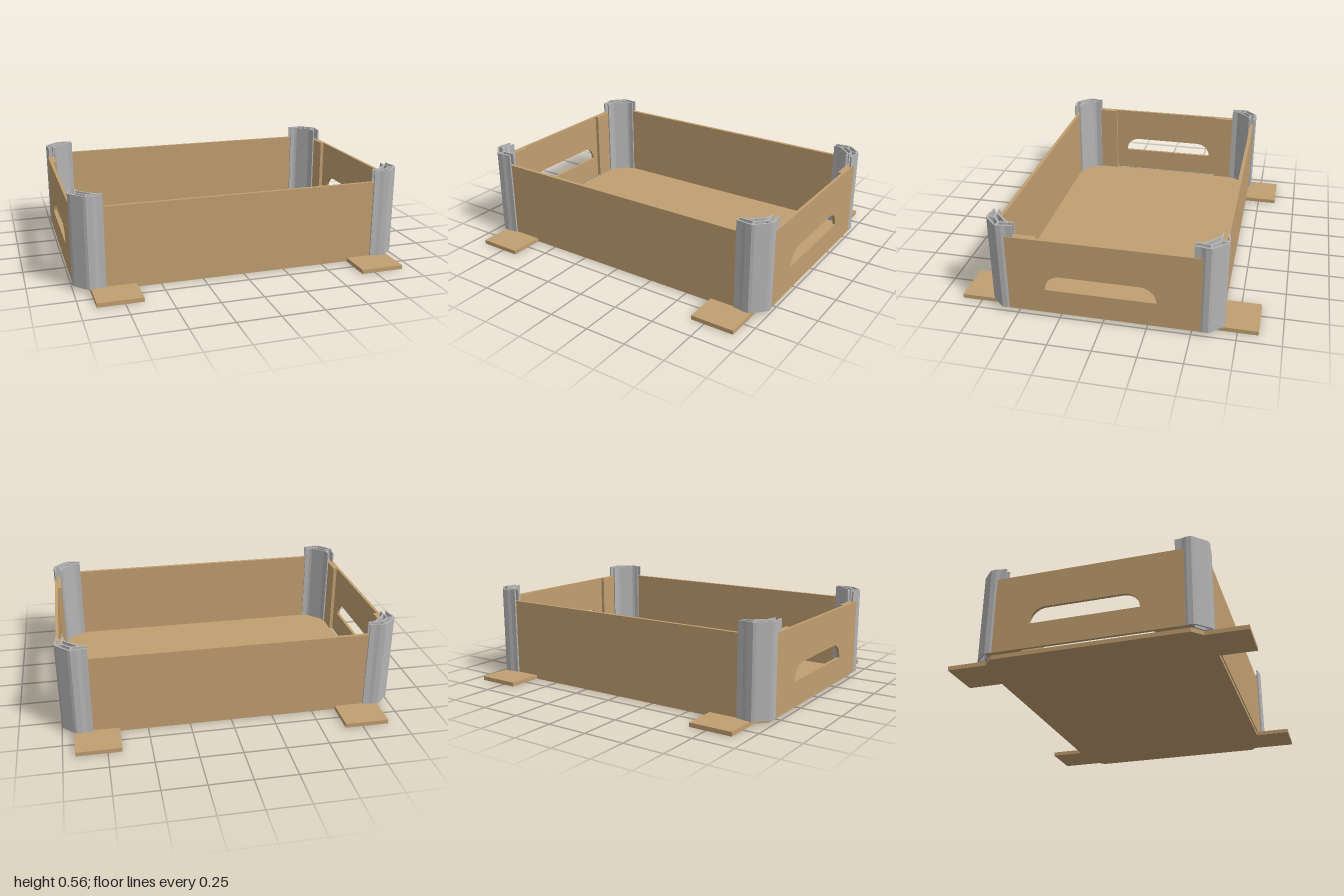
import * as THREE from 'three';

const FLOOR = 0.025, WALL_TOP = 0.495, POST_TOP = 0.565;

// Plan outline given as [x, z] points, extruded between two heights
function prism(points, y0, y1) {
  const shape = new THREE.Shape(points.map(([x, z]) => new THREE.Vector2(x, z)));
  const geo = new THREE.ExtrudeGeometry(shape, { depth: y1 - y0, bevelEnabled: false });
  return geo.rotateX(Math.PI / 2).translate(0, y1, 0);
}

// Turns an open path into a mitred strip outline of the given thickness
function strip(path, thickness) {
  const pts = path.map(([x, z]) => new THREE.Vector2(x, z));
  const normal = (a, b) => new THREE.Vector2(a.y - b.y, b.x - a.x).normalize();
  const one = [], two = [];
  pts.forEach((p, i) => {
    const n1 = normal(pts[Math.max(i - 1, 0)], pts[Math.max(i, 1)]);
    const last = pts.length - 1;
    const n2 = normal(pts[Math.min(i, last - 1)], pts[Math.min(i + 1, last)]);
    const m = n1.clone().add(n2).normalize();
    m.multiplyScalar(thickness / 2 / m.dot(n1));
    one.push([p.x + m.x, p.y + m.y]);
    two.unshift([p.x - m.x, p.y - m.y]);
  });
  return [...one, ...two];
}

export function createModel() {
  const wood = new THREE.MeshStandardMaterial({ color: 0xc19f70 });
  wood.name = 'tan board';
  const metal = new THREE.MeshStandardMaterial({ color: 0xb4b4b4 });
  metal.name = 'grey metal';
  const model = new THREE.Group();
  model.name = 'crate';
  const add = (name, geo, mat, parent = model) => {
    const mesh = new THREE.Mesh(geo, mat);
    mesh.name = name;
    parent.add(mesh);
    return mesh;
  };

  // Floor board with chamfered corners and four tabs
  const half = [
    [0.965, 0.57], [0.93, 0.605], [0.93, 0.867], [0.668, 0.867], [0.668, 0.655],
    [-0.645, 0.655], [-0.645, 0.867], [-0.907, 0.867], [-0.907, 0.628], [-0.965, 0.57],
  ];
  const outline = [...half, ...half.map(([x, z]) => [x, -z]).reverse()];
  add('floor', prism(outline, 0, FLOOR), wood);

  // Long walls
  const wallHeight = WALL_TOP - FLOOR;
  for (const s of [1, -1]) {
    add(s > 0 ? 'frontWall' : 'backWall', new THREE.BoxGeometry(1.81, wallHeight, 0.022), wood)
      .position.set(0, FLOOR + wallHeight / 2, s * 0.65);
  }

  // End walls with a hand hole, thickened at both ends by inner strips
  for (const s of [1, -1]) {
    const wall = new THREE.Shape();
    wall.moveTo(-0.585, FLOOR).lineTo(0.585, FLOOR).lineTo(0.585, WALL_TOP).lineTo(-0.585, WALL_TOP);
    wall.closePath();
    const r = 0.095, low = 0.175, mid = s * 0.015;
    const z0 = mid - 0.32, z1 = mid + 0.32;
    const hole = new THREE.Path();
    hole.moveTo(z0, low).lineTo(z1, low);
    hole.absarc(z1 - r, low, r, 0, Math.PI / 2, false);
    hole.absarc(z0 + r, low, r, Math.PI / 2, Math.PI, false);
    wall.holes.push(hole);
    const geo = new THREE.ExtrudeGeometry(wall, { depth: 0.018, bevelEnabled: false, curveSegments: 12 });
    geo.rotateY(-Math.PI / 2).translate(0.009, 0, 0);
    add(s > 0 ? 'leftWall' : 'rightWall', geo, wood).position.x = s * 0.986;
    for (const t of [1, -1]) {
      add('wallEndStrip', new THREE.BoxGeometry(0.024, wallHeight, 0.205), wood)
        .position.set(s * 0.966, FLOOR + wallHeight / 2, t * 0.4825);
    }
  }

  // Hollow corner posts: outer skin, inner skin and webs gripping the wall ends
  const profile = {
    outerSkin: [[0.82, 0.666], [0.855, 0.667], [0.88, 0.673], [0.912, 0.673], [0.925, 0.665],
      [0.985, 0.605], [0.994, 0.592], [0.994, 0.565], [0.986, 0.54], [0.985, 0.502]],
    innerSkin: [[0.82, 0.634], [0.85, 0.632], [0.868, 0.624], [0.938, 0.558], [0.948, 0.54], [0.95, 0.502]],
    diagonalWeb: [[0.85, 0.634], [0.908, 0.634], [0.955, 0.59], [0.955, 0.535]],
    longWallWeb: [[0.908, 0.63], [0.908, 0.673]],
    endWallWeb: [[0.95, 0.59], [0.994, 0.59]],
  };
  for (const sx of [1, -1]) {
    for (const sz of [1, -1]) {
      const post = new THREE.Group();
      post.name = (sz > 0 ? 'front' : 'back') + (sx > 0 ? 'Left' : 'Right') + 'Post';
      model.add(post);
      for (const [name, path] of Object.entries(profile)) {
        const points = strip(path, 0.01).map(([x, z]) => [x * sx, z * sz]);
        add(name, prism(points, FLOOR, POST_TOP), metal, post);
      }
    }
  }
  return model;
}
